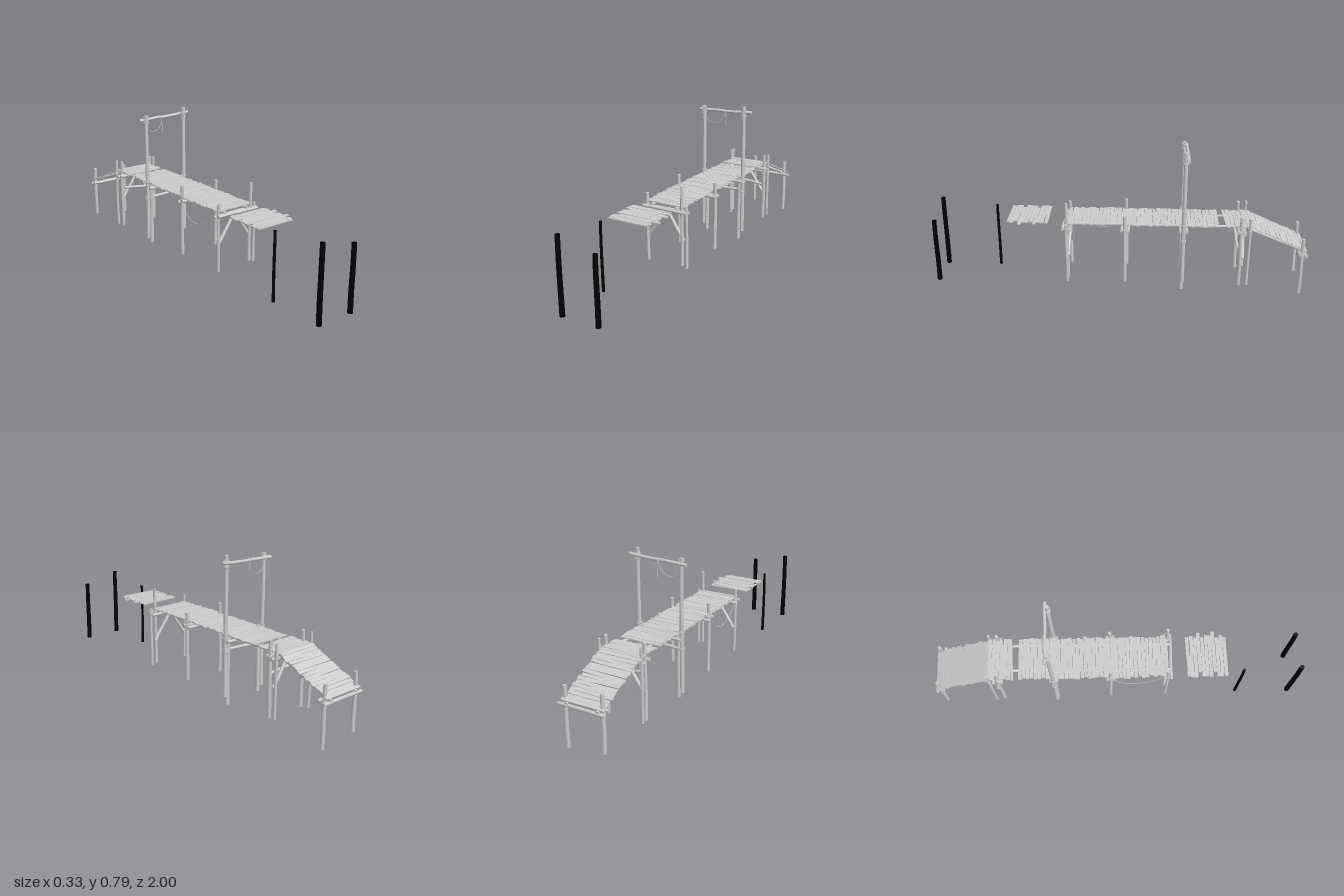
import * as THREE from 'three';

const grey = new THREE.MeshStandardMaterial({ color: 0xcccccc });
const black = new THREE.MeshStandardMaterial({ color: 0x000000 });
const V = (x, y, z) => new THREE.Vector3(x, y, z);

export function createModel() {
  const root = new THREE.Group();
  let seed = 7;
  const rnd = (s = 1) => {
    seed = (seed * 16807) % 2147483647;
    return ((seed / 2147483647) * 2 - 1) * s;
  };
  const group = (name) => {
    const g = new THREE.Group();
    g.name = name;
    root.add(g);
    return g;
  };

  // Slightly crooked round log from a to b
  function log(parent, name, a, b, r0, r1 = r0, mat = grey, bend = 0.0025) {
    const len = a.distanceTo(b);
    const geo = new THREE.CylinderGeometry(r1, r0, len, 10, 6);
    const p = geo.attributes.position;
    const k = rnd(bend), m = rnd(bend);
    for (let i = 0; i < p.count; i++) {
      const t = p.getY(i) / len + 0.5;
      p.setX(i, p.getX(i) + k * Math.sin(t * Math.PI));
      p.setZ(i, p.getZ(i) + m * Math.sin(t * Math.PI * 2));
    }
    geo.computeVertexNormals();
    const mesh = new THREE.Mesh(geo, mat);
    mesh.name = name;
    mesh.position.copy(a).lerp(b, 0.5);
    mesh.quaternion.setFromUnitVectors(V(0, 1, 0), b.clone().sub(a).normalize());
    parent.add(mesh);
  }

  // Rope wound around a post
  function lashing(parent, x, y, z, r) {
    for (let i = -1; i <= 1; i++) {
      const ring = new THREE.Mesh(new THREE.TorusGeometry(r + 0.001, 0.0025, 5, 14), grey);
      ring.name = 'lashing';
      ring.position.set(x, y + i * 0.0045, z);
      ring.rotation.set(Math.PI / 2 + rnd(0.18), rnd(0.18), 0);
      parent.add(ring);
    }
  }

  function rope(name, points, r = 0.0016) {
    const curve = new THREE.CatmullRomCurve3(points);
    const mesh = new THREE.Mesh(new THREE.TubeGeometry(curve, 32, r, 6), grey);
    mesh.name = name;
    root.add(mesh);
  }

  // Post rows: [x, z, bottom, top, radius]
  const posts = group('posts');
  [
    [0.1, 0.28, 0.065, 0.495, 0.009], [0.125, 0.28, 0.055, 0.385, 0.008],
    [-0.11, 0.28, 0.055, 0.425, 0.009],
    [0.117, -0.03, 0.055, 0.432, 0.01], [-0.11, -0.03, 0.05, 0.442, 0.01],
    [0.104, -0.335, 0.01, 0.39, 0.011], [-0.106, -0.335, 0.03, 0.39, 0.011],
    [0.112, -0.64, 0.045, 0.435, 0.01], [-0.108, -0.64, 0.04, 0.44, 0.01],
    [0.118, -0.685, 0.05, 0.43, 0.008], [-0.118, -0.685, 0.045, 0.438, 0.008],
    [0.101, -0.97, 0, 0.315, 0.0105], [-0.105, -0.97, 0.027, 0.325, 0.0105],
  ].forEach(([x, z, y0, y1, r]) => {
    log(posts, 'post', V(x + rnd(0.002), y0, z - rnd(0.003)), V(x, y1, z), r, r * 0.92);
    lashing(posts, x, z < -0.9 ? 0.225 : 0.36, z, r);
  });

  // Cross beams clamped on both faces of each row of posts
  const beams = group('crossBeams');
  [[0.28, 0.355], [-0.03, 0.355], [-0.338, 0.355], [-0.645, 0.352], [-0.97, 0.23]].forEach(([z, y]) => {
    for (const s of [-1, 1]) {
      log(beams, 'crossBeam', V(-0.128, y + s * 0.004 + rnd(0.003), z + s * 0.017),
        V(0.13, y + s * 0.004 + rnd(0.003), z + s * 0.017), 0.009, 0.0085);
    }
  });
  log(beams, 'lowBeam', V(-0.105, 0.285, -0.627), V(0.105, 0.262, -0.627), 0.008);
  log(beams, 'lowBeam', V(-0.135, 0.298, -0.338), V(0.135, 0.31, -0.338), 0.008);

  // Knee braces in the front and rear rows
  const braces = group('braces');
  for (const z of [0.27, -0.655]) {
    for (const s of [-1, 1]) {
      log(braces, 'brace', V(s * 0.104, 0.2, z), V(s * 0.004, 0.345, z), 0.009, 0.008);
    }
  }

  // Long stringers below the deck
  const stringers = group('stringers');
  for (const x of [-0.075, 0.068]) {
    [[0.295, -0.04], [-0.02, -0.35], [-0.32, -0.7]].forEach(([z0, z1], i) => {
      log(stringers, 'stringer', V(x + i * 0.006, 0.371, z0), V(x + i * 0.006, 0.371, z1), 0.008);
    });
    log(stringers, 'rampStringer', V(x * 1.2, 0.368, -0.67), V(x * 1.2, 0.236, -0.992), 0.009);
  }

  // Uneven plank, tapered to one end
  function plank(parent, x, y, z, pitch, width = 0.0195) {
    const geo = new THREE.BoxGeometry(0.228 + rnd(0.008), 0.0055, width, 6, 1, 1);
    const p = geo.attributes.position;
    const taper = rnd(0.12), wave = rnd(0.0012);
    for (let i = 0; i < p.count; i++) {
      const px = p.getX(i);
      p.setZ(i, p.getZ(i) * (1 + (taper * px) / 0.115) + wave * Math.sin(px * 30));
    }
    geo.computeVertexNormals();
    const mesh = new THREE.Mesh(geo, grey);
    mesh.name = 'plank';
    mesh.position.set(x + rnd(0.005), y + rnd(0.001), z);
    mesh.rotation.set(pitch + rnd(0.03), rnd(0.022), rnd(0.006));
    parent.add(mesh);
  }

  // Level deck with one plank missing and a skewed one beside it
  const deck = group('deckPlanks');
  for (let z = 0.272; z > -0.69; z -= 0.0207) {
    if (z < -0.535 && z > -0.575) continue;
    plank(deck, z > -0.04 ? -0.007 : z > -0.34 ? -0.002 : 0, 0.382, z, 0);
  }
  plank(deck, -0.01, 0.382, -0.563, 0, 0.014);
  deck.children[deck.children.length - 1].rotation.y = 0.05;

  // Ramp sloping down at the back
  const ramp = group('rampPlanks');
  const slope = Math.atan2(0.133, 0.3);
  for (let i = 0; i < 15; i++) {
    const t = (i + 0.5) / 15;
    plank(ramp, -0.005, 0.381 - 0.133 * t, -0.69 - 0.3 * t, -slope, 0.0205);
  }

  // Loose floating section of planks
  const loose = group('loosePlanks');
  for (let i = 0; i < 11; i++) {
    plank(loose, i === 3 || i === 7 ? 0.012 : -0.014, 0.384, 0.39 + i * 0.02, 0, 0.0185);
  }

  // Gate with crooked top pole
  const gate = group('gate');
  [[-0.128, 0.77], [0.123, 0.788]].forEach(([x, top]) => {
    log(gate, 'gatePost', V(x * 1.01, 0.06, -0.338), V(x, top, -0.338), 0.0115, 0.01);
    for (const y of [0.3, 0.39, 0.735, 0.758]) lashing(gate, x, y, -0.338, 0.0115);
  });
  log(gate, 'gatePole', V(-0.163, 0.744, -0.352), V(-0.02, 0.75, -0.352), 0.009, 0.008);
  log(gate, 'gatePole', V(-0.03, 0.747, -0.352), V(0.162, 0.756, -0.352), 0.008, 0.009);

  // Hanging ropes
  rope('gateRope', [V(-0.118, 0.7, -0.348), V(-0.1, 0.681, -0.35), V(-0.07, 0.673, -0.352),
    V(-0.035, 0.686, -0.354), V(-0.015, 0.715, -0.358), V(-0.007, 0.757, -0.36)]);
  rope('gateRopeEnd', [V(-0.007, 0.762, -0.352), V(-0.007, 0.745, -0.363), V(-0.006, 0.7, -0.363),
    V(-0.007, 0.66, -0.363)], 0.002);
  rope('sideRope', [V(-0.118, 0.365, 0.275), V(-0.12, 0.308, 0.2), V(-0.12, 0.268, 0.1),
    V(-0.12, 0.295, 0.025), V(-0.118, 0.36, -0.025)]);

  // Free-standing dark pilings
  const pilings = group('pilings');
  [[-0.103, 0.986, 0.435, 0.0135], [0.102, 0.986, 0.385, 0.0135], [-0.1, 0.685, 0.4, 0.008]]
    .forEach(([x, z, top, r]) => {
      log(pilings, 'piling', V(x, 0.037, z), V(x - 0.002, top, z), r, r * 0.9, black);
    });

  return root;
}
